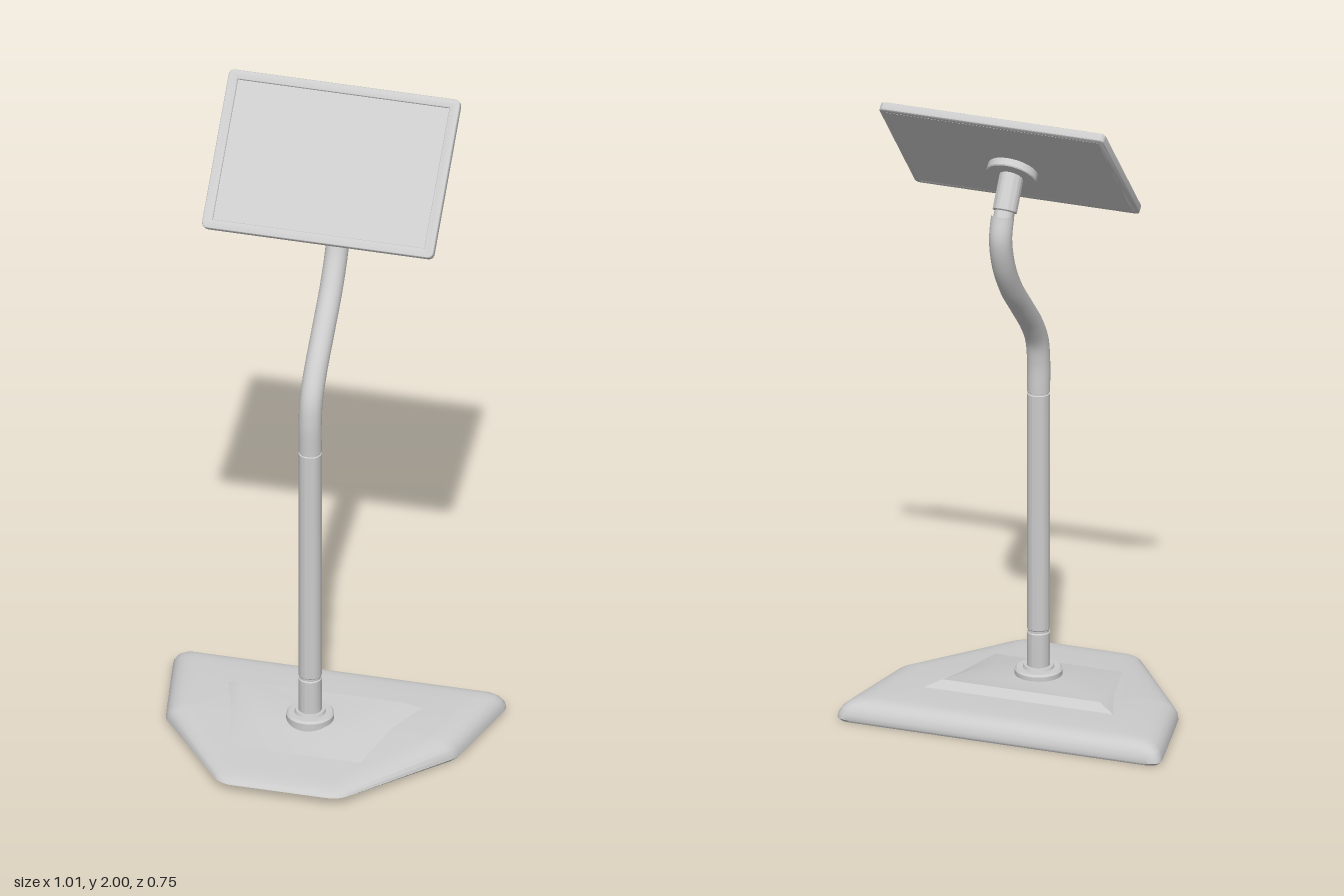
import * as THREE from 'three';
import { toCreasedNormals } from 'three/addons/utils/BufferGeometryUtils.js';

const material = new THREE.MeshStandardMaterial({ color: 0xcccccc });

function add(parent, name, geometry, x = 0, y = 0, z = 0) {
  const mesh = new THREE.Mesh(geometry, material);
  mesh.name = name;
  mesh.position.set(x, y, z);
  parent.add(mesh);
  return mesh;
}

// Revolved part from [radius, height] pairs
function lathe(points) {
  const g = new THREE.LatheGeometry(points.map(p => new THREE.Vector2(...p)), 40);
  return toCreasedNormals(g, 0.6);
}

// Closed polygon from [x, y, corner radius] entries
function roundedPolygon(corners) {
  const pts = corners.map(([x, y]) => new THREE.Vector2(x, y));
  const shape = new THREE.Shape();
  pts.forEach((p, i) => {
    const prev = pts[(i + pts.length - 1) % pts.length], next = pts[(i + 1) % pts.length];
    const a = p.clone().add(prev.clone().sub(p).setLength(corners[i][2]));
    const b = p.clone().add(next.clone().sub(p).setLength(corners[i][2]));
    if (i === 0) shape.moveTo(a.x, a.y); else shape.lineTo(a.x, a.y);
    shape.quadraticCurveTo(p.x, p.y, b.x, b.y);
  });
  shape.closePath();
  return shape;
}

function rectangle(w, h, r) {
  return roundedPolygon([[-w, -h, r], [w, -h, r], [w, h, r], [-w, h, r]]);
}

// Skin stacked rings of equal length (bottom to top, anticlockwise from above)
function loft(rings, crease) {
  const n = rings[0].length, index = [];
  for (let r = 0; r < rings.length - 1; r++) {
    for (let i = 0; i < n; i++) {
      const a = r * n + i, b = r * n + (i + 1) % n;
      index.push(a, b, a + n, b, b + n, a + n);
    }
  }
  const g = new THREE.BufferGeometry();
  g.setAttribute('position', new THREE.Float32BufferAttribute(rings.flat(2), 3));
  g.setIndex(index);
  return toCreasedNormals(g, crease);
}

// Foot: thick at the back, tapering to a raised thin front lip
function baseGeometry() {
  const outline = roundedPolygon([
    [-0.51, -0.327, 0.045], [-0.44, 0.02, 0.02], [-0.18, 0.374, 0.04],
    [0.18, 0.374, 0.04], [0.44, 0.02, 0.02], [0.51, -0.327, 0.045],
  ]).getPoints(6);
  if (outline[0].distanceTo(outline[outline.length - 1]) < 1e-5) outline.pop();
  const bottom = z => Math.max(0, z + 0.02) * 0.06;
  const top = z => 0.065 - Math.max(0, z + 0.02) * 0.062;
  // [inset scale, height fraction]
  const steps = [[0, 0], [0.5, 0], [0.985, 0], [1, 0.12], [0.995, 0.35], [0.975, 0.6],
    [0.945, 0.78], [0.905, 0.9], [0.855, 0.97], [0.79, 1], [0.6, 1], [0.4, 1], [0.2, 1], [0, 1]];
  return loft(steps.map(([s, f]) => outline.map(p => {
    const z = p.y * s;
    return [p.x * s, THREE.MathUtils.lerp(bottom(z), top(z), f), z];
  })), 0.7);
}

// Low raised plinth: soft front and sides, crisp step at the back
function plinthGeometry() {
  const ring = (xb, zb, xf, zf, yb, yf) =>
    [[-xb, yb, zb], [-xf, yf, zf], [xf, yf, zf], [xb, yb, zb]];
  return loft([
    ring(0.3, -0.145, 0.2, 0.2, 0.062, 0.05),
    ring(0.245, -0.12, 0.14, 0.07, 0.088, 0.083),
    ring(0, -0.02, 0, -0.02, 0.0865, 0.0865),
  ], 0.7);
}

export function createModel() {
  const model = new THREE.Group();
  const poleZ = 0.028;

  const foot = new THREE.Group();
  foot.name = 'foot';
  model.add(foot);
  add(foot, 'base', baseGeometry());
  add(foot, 'plinth', plinthGeometry());

  // Collar and straight pole, with a narrow groove at each joint
  add(model, 'collar', lathe([[0, 0.07], [0.07, 0.07], [0.07, 0.1], [0.064, 0.106],
    [0.046, 0.106], [0.043, 0.114], [0, 0.114]]), 0, 0, poleZ);
  add(model, 'pole', lathe([[0.034, 0.1], [0.034, 0.218], [0.031, 0.221], [0.031, 0.228],
    [0.034, 0.231], [0.034, 0.974], [0.031, 0.976], [0.031, 0.981], [0.034, 0.983]]), 0, 0, poleZ);

  // Curved neck
  const path = new THREE.CatmullRomCurve3([
    [poleZ, 0.982], [poleZ, 1.08], [0.015, 1.147], [-0.03, 1.216], [-0.114, 1.305],
    [-0.204, 1.4], [-0.268, 1.5], [-0.291, 1.59], [-0.274, 1.655],
  ].map(([z, y]) => new THREE.Vector3(0, y, z)));
  add(model, 'neck', new THREE.TubeGeometry(path, 64, 0.034, 28, false));

  // Stem joining the neck to the mounting disc
  const start = new THREE.Vector3(0, 1.64, -0.271), end = new THREE.Vector3(0, 1.761, -0.193);
  const length = start.distanceTo(end);
  const stem = add(model, 'stem', lathe([[0, 0], [0.03, 0], [0.03, 0.025], [0.036, 0.028],
    [0.036, length], [0, length]]));
  stem.position.copy(start);
  stem.quaternion.setFromUnitVectors(new THREE.Vector3(0, 1, 0), end.clone().sub(start).normalize());

  // Tilted display
  const display = new THREE.Group();
  display.name = 'display';
  display.position.set(0, 1.8135, -0.2095);
  display.rotation.x = -0.721;
  model.add(display);

  const bevel = 0.004;
  const frame = rectangle(0.35 - bevel, 0.239 - bevel, 0.015);
  frame.holes.push(rectangle(0.32 + bevel, 0.211 + bevel, 0.004));
  const frameGeometry = new THREE.ExtrudeGeometry(frame, {
    depth: 0.017, bevelThickness: bevel, bevelSize: bevel, bevelSegments: 4, curveSegments: 6,
  });
  add(display, 'frame', toCreasedNormals(frameGeometry, 0.6), 0, 0, -0.0085);
  add(display, 'screen', new THREE.BoxGeometry(0.66, 0.44, 0.019), 0, 0, -0.0035);
  const disc = add(display, 'mountingDisc', lathe([[0, 0], [0.072, 0], [0.075, 0.003],
    [0.075, 0.026], [0, 0.026]]), 0, -0.05, -0.037);
  disc.rotation.x = Math.PI / 2;

  return model;
}
